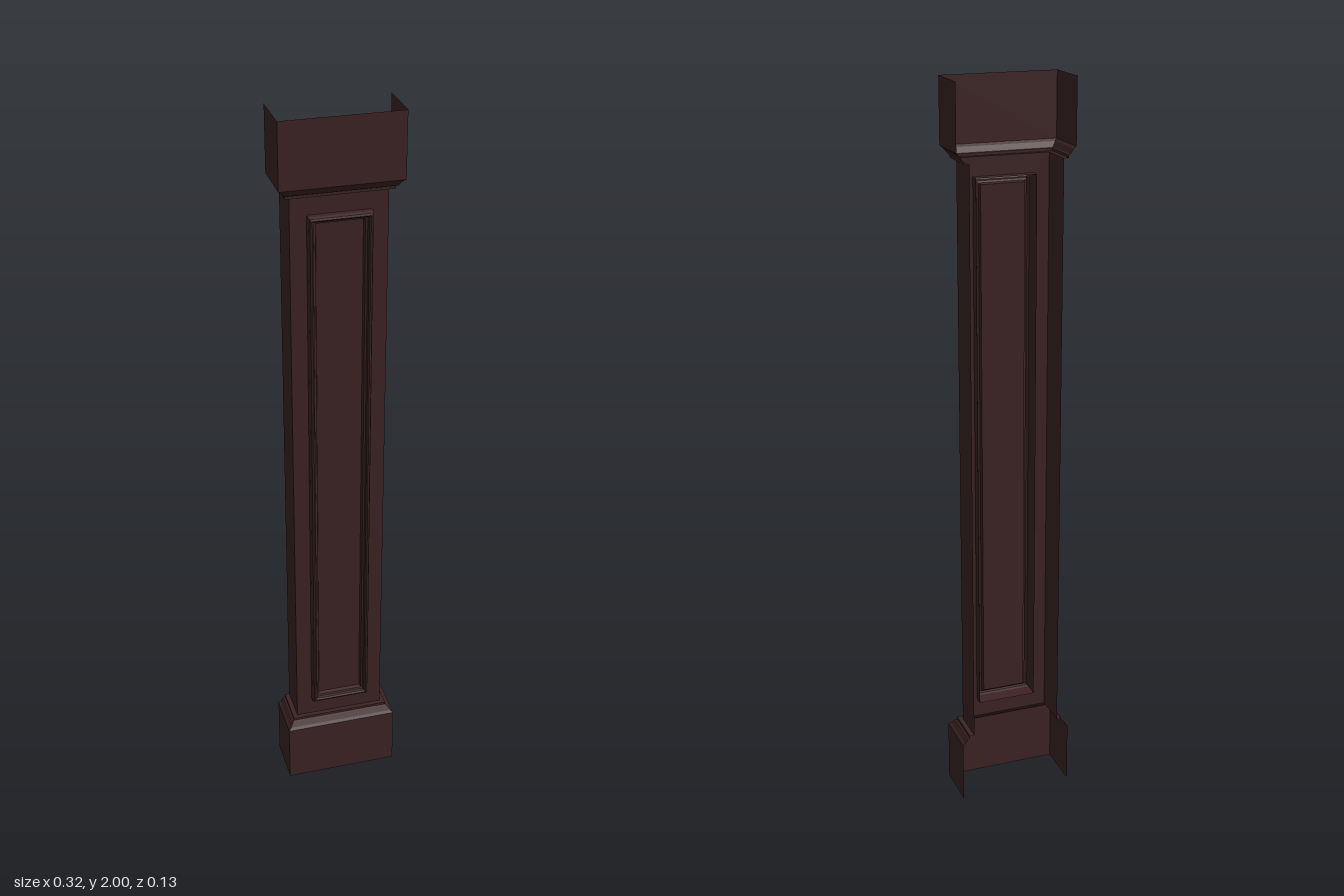
import * as THREE from 'three';

const W = 0.125, FRONT = 0.033, BACK = -0.067; // shaft half width and depth
const PW = 0.082, PLOW = 0.255, PHIGH = 1.75;  // panel frame outline

// Flat-faced skin between successive rows of points
function loft(rows, closed) {
  const pos = [];
  for (let i = 0; i + 1 < rows.length; i++) {
    const n = rows[i].length;
    for (let j = 0; j < (closed ? n : n - 1); j++) {
      const k = (j + 1) % n;
      const a = rows[i][j], b = rows[i][k], c = rows[i + 1][k], d = rows[i + 1][j];
      pos.push(...a, ...b, ...c, ...a, ...c, ...d);
    }
  }
  const g = new THREE.BufferGeometry();
  g.setAttribute('position', new THREE.Float32BufferAttribute(pos, 3));
  g.computeVertexNormals();
  return g;
}

// Three-sided row, pushed outward by o, at height y
const uRow = ([o, y]) => [
  [-W - o, y, BACK], [-W - o, y, FRONT + o], [W + o, y, FRONT + o], [W + o, y, BACK],
];

// Rectangular row, inset from the panel outline, at depth z
const frameRow = ([s, z]) => [
  [-PW + s, PLOW + s, z], [PW - s, PLOW + s, z], [PW - s, PHIGH - s, z], [-PW + s, PHIGH - s, z],
];

export function createModel() {
  const model = new THREE.Group();
  model.name = 'pilaster';
  const wood = new THREE.MeshStandardMaterial({ color: 0x3e2425, side: THREE.DoubleSide });
  wood.name = 'darkWood';
  const add = (name, geometry) => {
    const mesh = new THREE.Mesh(geometry, wood);
    mesh.name = name;
    model.add(mesh);
    return mesh;
  };

  // Base with stepped moulding, and the same turned over as capital
  const profile = [[0.033, 0], [0.033, 0.172], [0.026, 0.178], [0.017, 0.191], [0.013, 0.193], [0.013, 0.2], [0, 0.2]];
  add('base', loft(profile.map(uRow)));
  add('capital', loft(profile.map(([o, y]) => [o, 2 - y]).reverse().map(uRow)));

  // Shaft: front wall with an opening for the panel, and two side walls
  const wall = new THREE.Shape([[-W, 0.2], [W, 0.2], [W, 1.8], [-W, 1.8]].map(p => new THREE.Vector2(...p)));
  wall.holes.push(new THREE.Path([[-PW, PLOW], [-PW, PHIGH], [PW, PHIGH], [PW, PLOW]].map(p => new THREE.Vector2(...p))));
  add('shaftFront', new THREE.ShapeGeometry(wall).translate(0, 0, FRONT));
  for (const side of [-1, 1]) {
    const g = new THREE.PlaneGeometry(FRONT - BACK, 1.6).rotateY(side * Math.PI / 2);
    add(side > 0 ? 'leftWall' : 'rightWall', g.translate(side * W, 1, (FRONT + BACK) / 2));
  }

  // Moulded frame, open behind, around a flat panel
  const moulding = [[0, 0.007], [0, 0.049], [0.003, 0.055], [0.008, 0.057], [0.012, 0.054],
    [0.014, 0.047], [0.019, 0.045], [0.022, 0.036]];
  add('panelFrame', loft(moulding.map(frameRow), true));
  const inset = 0.022;
  add('panel', new THREE.PlaneGeometry(2 * (PW - inset), PHIGH - PLOW - 2 * inset)
    .translate(0, (PLOW + PHIGH) / 2, 0.036));

  return model;
}
